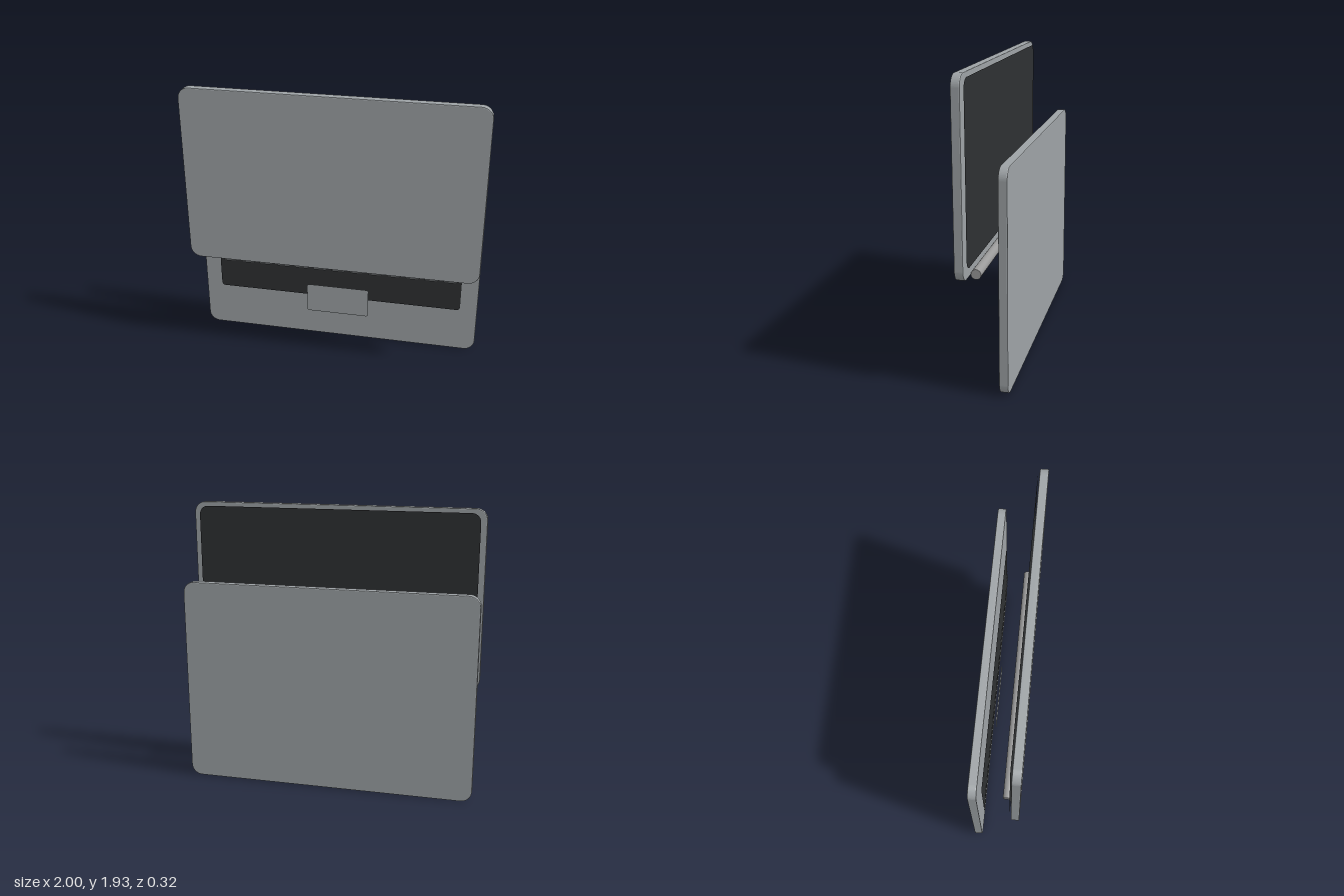
import * as THREE from 'three';

const metal = new THREE.MeshStandardMaterial({ color: 0x9da2a5 });
const hingeMetal = new THREE.MeshStandardMaterial({ color: 0x9a9a9a });
const dark = new THREE.MeshStandardMaterial({ color: 0x2e3032, side: THREE.DoubleSide });
const keyGrey = new THREE.MeshStandardMaterial({ color: 0x5c5f61, side: THREE.DoubleSide });
const padMetal = new THREE.MeshStandardMaterial({ color: 0x9da2a5, side: THREE.DoubleSide });

// Rounded rectangle centred on the origin
function roundedRect(w, h, r) {
  const x = w / 2, y = h / 2, s = new THREE.Shape();
  s.moveTo(-x + r, -y);
  s.lineTo(x - r, -y);
  s.absarc(x - r, -y + r, r, -Math.PI / 2, 0);
  s.lineTo(x, y - r);
  s.absarc(x - r, y - r, r, 0, Math.PI / 2);
  s.lineTo(-x + r, y);
  s.absarc(-x + r, y - r, r, Math.PI / 2, Math.PI);
  s.lineTo(-x, -y + r);
  s.absarc(-x + r, -y + r, r, Math.PI, Math.PI * 1.5);
  return s;
}

// Thick slab with softly bevelled edges, spanning y0..y1 and z0..z1
function slab(name, y0, y1, z0, z1) {
  const b = 0.006;
  const geo = new THREE.ExtrudeGeometry(roundedRect(2 - 2 * b, y1 - y0 - 2 * b, 0.07), {
    depth: z1 - z0 - 2 * b, bevelThickness: b, bevelSize: b, bevelSegments: 2, curveSegments: 8,
  });
  const mesh = new THREE.Mesh(geo, metal);
  mesh.name = name;
  mesh.position.set(0, (y0 + y1) / 2, z0 + b);
  return mesh;
}

// Flat rounded sheet
function sheet(name, w, h, r, x, y, z, material) {
  const mesh = new THREE.Mesh(new THREE.ShapeGeometry(roundedRect(w, h, r), 6), material);
  mesh.name = name;
  mesh.position.set(x, y, z);
  return mesh;
}

export function createModel() {
  const model = new THREE.Group();
  model.name = 'explodedLaptop';

  // Lower body and the sheets floating in front of it
  model.add(slab('base', 0, 1.412, -0.161, -0.105));
  model.add(sheet('keyboardPlate', 1.76, 0.72, 0.025, 0, 0.69, -0.095, dark));
  model.add(sheet('trackpad', 0.45, 0.22, 0.015, 0, 0.315, -0.074, padMetal));

  // Key grid
  const keys = new THREE.Group();
  keys.name = 'keys';
  for (let row = 0; row < 4; row++)
    for (let col = 0; col < 13; col++)
      keys.add(sheet('key', 0.095, 0.032, 0.01, (col - 6) * 0.1335, 0.564 + row * 0.0515, -0.085, keyGrey));
  model.add(keys);

  // Lid with the display panel facing back towards the base
  model.add(slab('lid', 0.702, 1.925, 0.105, 0.161));
  const screen = sheet('screen', 1.92, 1.126, 0.06, 0, 1.335, 0.094, dark);
  screen.rotation.y = Math.PI;
  model.add(screen);

  // Hinge barrel
  const hinge = new THREE.Mesh(new THREE.CylinderGeometry(0.032, 0.032, 1.7, 32), hingeMetal);
  hinge.name = 'hinge';
  hinge.rotation.z = Math.PI / 2;
  hinge.position.set(0, 0.71, 0.07);
  model.add(hinge);

  return model;
}
